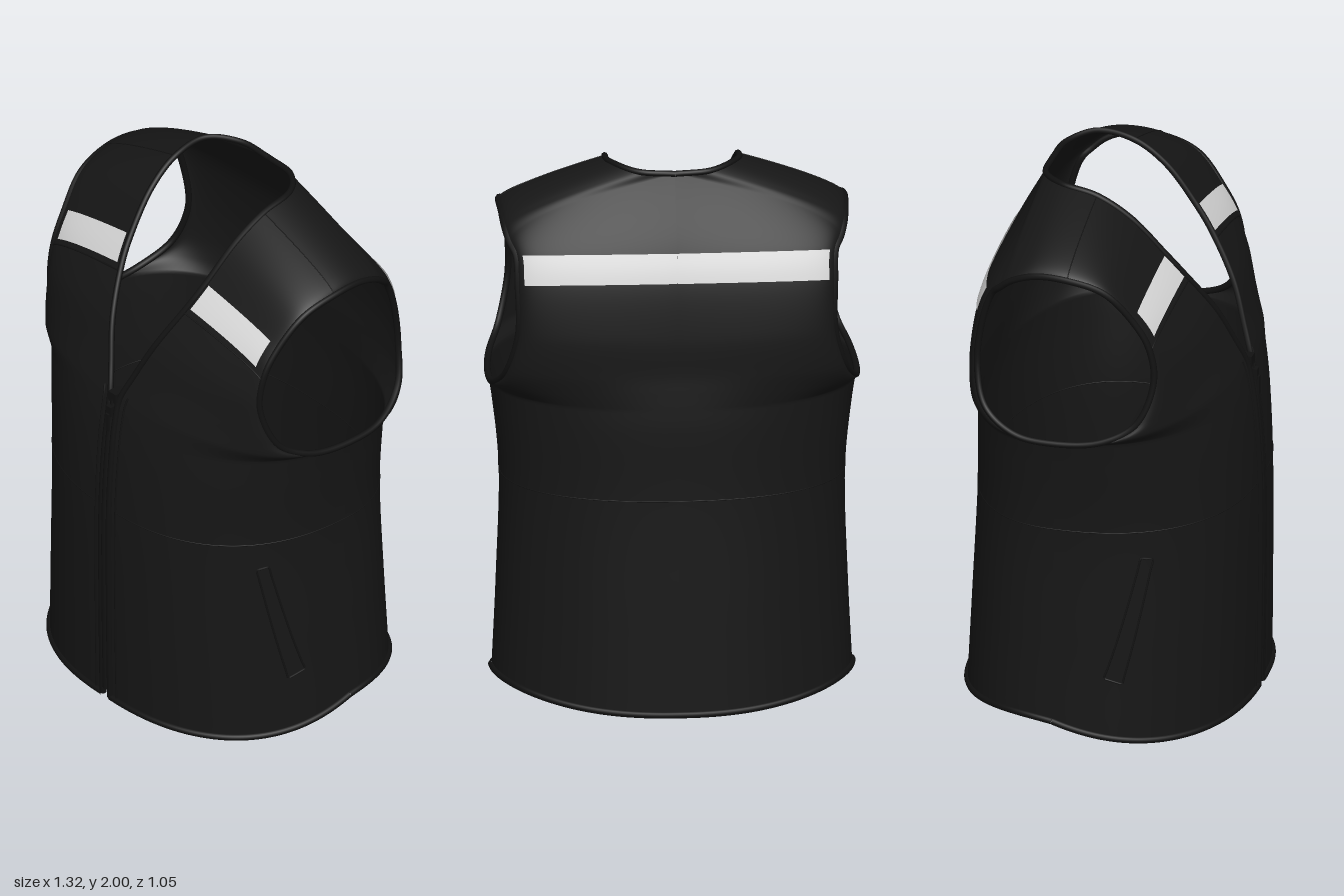
import * as THREE from 'three';

const fabric = new THREE.MeshStandardMaterial({ color: 0x161616, side: THREE.DoubleSide });
fabric.name = 'black fabric';
const trim = new THREE.MeshStandardMaterial({ color: 0x111111 });
trim.name = 'dark trim';
const reflective = new THREE.MeshStandardMaterial({ color: 0xd8d8d8, side: THREE.DoubleSide });
reflective.name = 'silver reflective tape';

// Cross-sections of one half: inner edge xyz, outer edge xyz, roundness.
// They run from the front hem up to the shoulder ...
const frontRows = [
  [.02, .02, .5, .635, .085, -.08, 1],
  [.02, .4, .505, .62, .4, -.08, 1],
  [.02, .82, .505, .61, .82, -.08, 1],
  [.02, 1.08, .49, .635, 1.08, -.08, 1],
  [.02, 1.2, .475, .65, 1.18, -.08, 1],
  [.025, 1.28, .46, .635, 1.2, .1, .95],
  [.06, 1.38, .425, .595, 1.265, .215, .85],
  [.115, 1.52, .37, .56, 1.42, .272, .7],
  [.175, 1.67, .275, .56, 1.555, .255, .5],
  [.2, 1.755, .21, .57, 1.655, .2, .35],
  [.225, 1.89, .09, .595, 1.765, .1, .3],
];
// ... and on over the shoulder down to the back hem
const backRows = [
  [.235, 1.965, -.03, .61, 1.805, -.03, .3],
  [.225, 1.988, -.16, .607, 1.805, -.15, .3],
  [.13, 1.978, -.248, .6, 1.775, -.235, .3],
  [0, 1.972, -.262, .585, 1.735, -.285, .4],
  [0, 1.72, -.395, .565, 1.7, -.318, .8],
  [0, 1.62, -.43, .56, 1.6, -.353, .9],
  [0, 1.42, -.46, .56, 1.42, -.375, 1],
  [0, 1.28, -.465, .6, 1.27, -.335, 1],
  [0, 1.22, -.47, .64, 1.195, -.22, 1],
  [0, 1.16, -.475, .65, 1.18, -.08, 1],
  [0, 1.08, -.48, .635, 1.08, -.08, 1],
  [0, .82, -.485, .61, .82, -.08, 1],
  [0, .4, -.505, .62, .4, -.08, 1],
  [0, .04, -.522, .635, .085, -.08, 1],
];
const rows = [...frontRows, ...backRows];
const LAST = rows.length - 1;
const SHOULDER = frontRows.length;
const ARM_START = 4, ARM_END = 20, NECK_BACK = 14;

// Edge curves: front edge with neckline, back centre, side seam, armhole loop
const spline = (from, to, k, closed = false) => new THREE.CatmullRomCurve3(
  rows.slice(from, to + 1).map(r => new THREE.Vector3(r[k], r[k + 1], r[k + 2])), closed);
const neckEdge = spline(0, NECK_BACK, 0);
const backCentre = spline(NECK_BACK, LAST, 0);
const sideSeam = spline(0, ARM_START, 3);
const armhole = spline(ARM_START, ARM_END - 1, 3, true);

const innerPoint = t => t <= NECK_BACK
  ? neckEdge.getPoint(t / NECK_BACK)
  : backCentre.getPoint((t - NECK_BACK) / (LAST - NECK_BACK));
function outerPoint(t) {
  if (t < ARM_START) return sideSeam.getPoint(t / ARM_START);
  if (t > ARM_END) return sideSeam.getPoint((LAST - t) / ARM_START);
  return armhole.getPoint((t - ARM_START) / (ARM_END - ARM_START));
}

// Point on the half vest: u from inner to outer edge, t in row numbers
function surface(u, t) {
  const lerp = THREE.MathUtils.lerp;
  const a = innerPoint(t), c = outerPoint(t);
  const i = Math.min(Math.floor(t), LAST - 1);
  const k = lerp(rows[i][6], rows[i + 1][6], t - i);
  const across = Math.pow(Math.sin(u * Math.PI / 2), .87);
  const round = 1 - Math.pow(Math.max(0, Math.cos(u * Math.PI / 2)), .87);
  const drop = lerp(across, round, k);
  // the hem sags at the front and arches at the back
  const arch = .12 * drop * (1 - drop) * (Math.max(0, t - LAST + 1) - Math.max(0, 1 - t));
  return new THREE.Vector3(Math.max(0, lerp(a.x, c.x, across)),
    lerp(a.y, c.y, drop) + arch, lerp(a.z, c.z, drop));
}

function offsetPoint(u, t, d) {
  const p = surface(u, t);
  if (d === 0) return p;
  const e = .01, cl = THREE.MathUtils.clamp;
  const du = surface(cl(u + e, 0, 1), t).sub(surface(cl(u - e, 0, 1), t));
  const dt = surface(u, cl(t + e, 0, LAST)).sub(surface(u, cl(t - e, 0, LAST)));
  return p.addScaledVector(du.cross(dt).normalize(), d);
}

// Sheet of cloth lying on the half vest, mirrored by side
function patch(name, material, side, [u0, u1], [t0, t1], d, nu, nt) {
  const pos = [], index = [];
  for (let j = 0; j <= nt; j++) {
    for (let i = 0; i <= nu; i++) {
      const p = offsetPoint(u0 + (u1 - u0) * i / nu, t0 + (t1 - t0) * j / nt, d);
      pos.push(p.x * side, p.y, p.z);
      if (i === nu || j === nt) continue;
      const a = j * (nu + 1) + i, b = a + 1, c = a + nu + 1, e = c + 1;
      if (side > 0) index.push(a, b, e, a, e, c);
      else index.push(a, e, b, a, c, e);
    }
  }
  const g = new THREE.BufferGeometry();
  g.setAttribute('position', new THREE.Float32BufferAttribute(pos, 3));
  g.setIndex(index);
  g.computeVertexNormals();
  const mesh = new THREE.Mesh(g, material);
  mesh.name = name;
  return mesh;
}

// Cord following [u, t] corners on the half vest
function cord(name, side, corners, radius, closed = false, steps = 40) {
  const pts = [];
  for (let s = 0; s < corners.length - 1; s++) {
    const [a, b] = [corners[s], corners[s + 1]];
    for (let i = s ? 1 : 0; i <= steps; i++) {
      const f = i / steps;
      const p = surface(a[0] + (b[0] - a[0]) * f, a[1] + (b[1] - a[1]) * f);
      pts.push(p.setX(p.x * side));
    }
  }
  if (closed) pts.pop();
  const path = new THREE.CatmullRomCurve3(pts, closed);
  const mesh = new THREE.Mesh(new THREE.TubeGeometry(path, pts.length * 2, radius, 8, closed), trim);
  mesh.name = name;
  return mesh;
}

function box(name, w, h, d, x, y, z) {
  const mesh = new THREE.Mesh(new THREE.BoxGeometry(w, h, d), trim);
  mesh.name = name;
  mesh.position.set(x, y, z);
  return mesh;
}

export function createModel() {
  const vest = new THREE.Group();
  vest.name = 'vest';

  for (const side of [1, -1]) {
    const half = new THREE.Group();
    half.name = side > 0 ? 'leftHalf' : 'rightHalf';
    half.add(
      // Cloth panels
      patch('frontPanel', fabric, side, [0, 1], [0, SHOULDER], 0, 28, 88),
      patch('backPanel', fabric, side, [0, 1], [SHOULDER, LAST], 0, 28, 104),
      // Reflective tape, showing on both faces of the front
      patch('frontTape', reflective, side, [.02, .715], [8, 9], .005, 16, 6),
      patch('frontTapeInside', reflective, side, [.02, .715], [8, 9], -.005, 16, 6),
      patch('backTape', reflective, side, [0, .8], [15, 16], .005, 20, 6),
      // Bound edges
      cord('armholeBinding', side, [[1, ARM_START], [1, ARM_END]], .012, true, 80),
      cord('necklineBinding', side, [[0, 5], [0, NECK_BACK]], .011, false, 60),
      cord('frontEdgeBinding', side, [[0, 0], [0, 5]], .012),
      cord('frontHemBinding', side, [[0, 0], [1, 0]], .012),
      cord('backHemBinding', side, [[0, LAST], [1, LAST]], .012),
      // Stitched seams
      cord('placketSeam', side, [[.022, .02], [.022, 5.2]], .004),
      cord('frontWaistSeam', side, [[.02, 2.02], [1, 2.02]], .002),
      cord('backWaistSeam', side, [[0, 21.98], [1, 21.98]], .002),
      cord('yokeSeam', side, [[0, 7.85], [1, 7.85]], .003),
      cord('shoulderSeam', side, [[0, 11], [1, 11]], .002),
      cord('pocketWelt', side, [[.64, 1.74], [.69, 1.76], [.83, .63], [.76, .58], [.64, 1.74]], .004, true, 12),
    );
    vest.add(half);
  }

  // Small pale tags inside the front hem
  vest.add(
    patch('leftHemTag', reflective, 1, [.05, .1], [.12, .2], -.004, 4, 2),
    patch('rightHemTag', reflective, -1, [.04, .2], [.01, .07], -.015, 8, 2));

  // Zip fastener down the centre front
  const zipPath = new THREE.CatmullRomCurve3([.05, .4, .82, 1.08, 1.2, 1.28].map((y, i) =>
    new THREE.Vector3(0, y, rows[i][2])));
  const zip = new THREE.Mesh(new THREE.TubeGeometry(zipPath, 60, .014, 8), trim);
  zip.name = 'zip';
  vest.add(zip,
    box('zipSlider', .026, .04, .02, 0, 1.23, .483),
    box('zipPull', .016, .07, .008, 0, 1.185, .495),
    box('zipTop', .04, .04, .04, 0, 1.28, .455));
  return vest;
}
